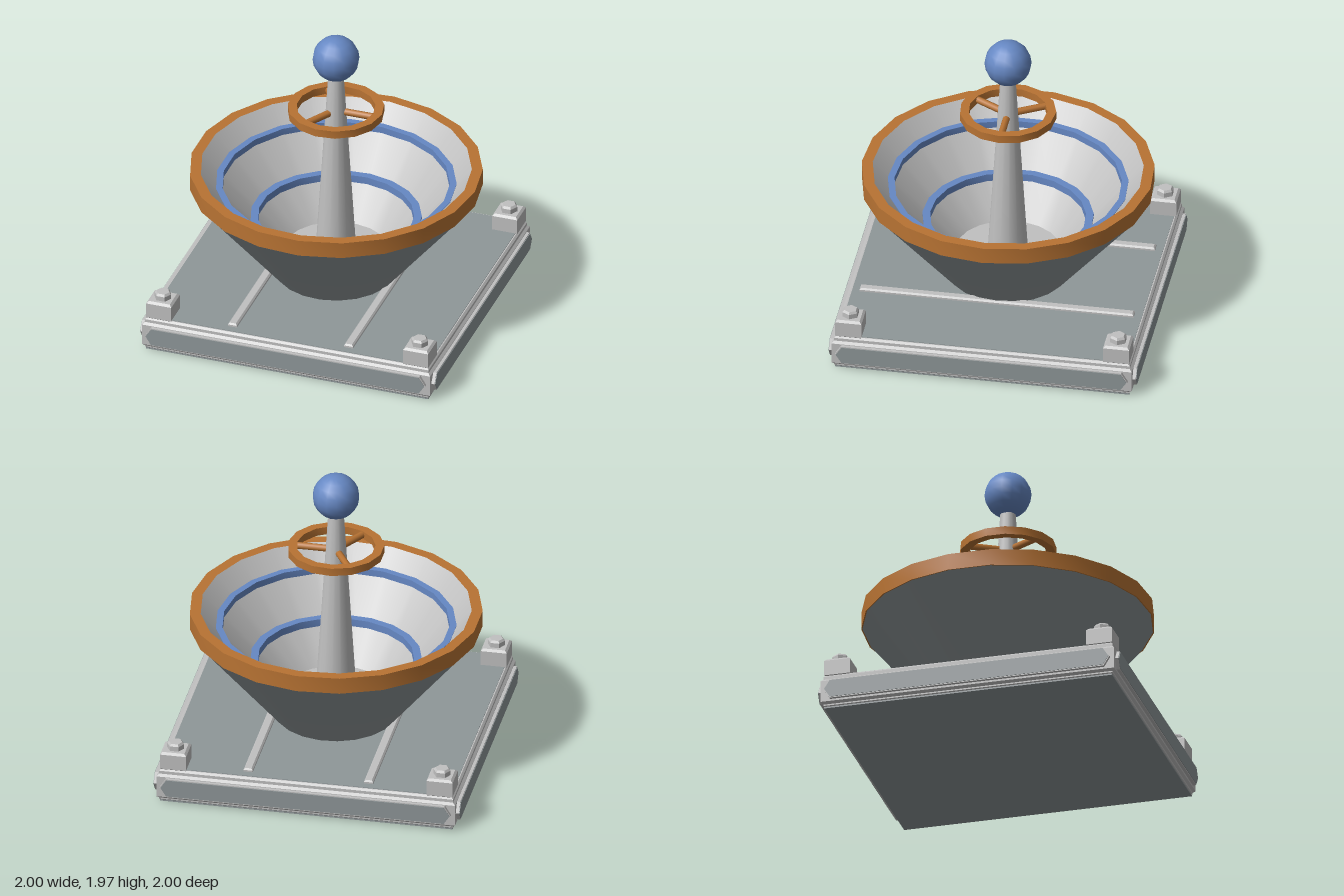
import * as THREE from 'three';
import { toCreasedNormals } from 'three/addons/utils/BufferGeometryUtils.js';

const mat = (name, color) => {
  const m = new THREE.MeshStandardMaterial({ color });
  m.name = name;
  return m;
};

export function createModel() {
  const model = new THREE.Group();
  model.name = 'bowlFixture';
  const silver = mat('silver', 0xc0c0c0);
  const steel = mat('steelGrey', 0x8f9799);
  const copper = mat('copper', 0xb87333);
  const blue = mat('blue', 0x6688c4);

  const add = (name, geometry, material, x = 0, y = 0, z = 0, parent = model) => {
    const mesh = new THREE.Mesh(geometry, material);
    mesh.name = name;
    mesh.position.set(x, y, z);
    parent.add(mesh);
    return mesh;
  };

  // Turned part with a corner on +x; profile runs up the outside, down the inside
  const lathe = (profile, sides) => toCreasedNormals(new THREE.LatheGeometry(
    profile.map(([r, y]) => new THREE.Vector2(r, y)), sides, Math.PI / 2), 0.5);

  const ring = (inner, outer, bottom, top, sides) => lathe(
    [[inner, bottom], [outer, bottom], [outer, top], [inner, top], [inner, bottom]], sides);

  // Upright block with all edges chamfered
  const outline = (points) => new THREE.Shape(points.map(([x, y]) => new THREE.Vector2(x, y)));
  const chamferBlock = (w, h, d, b) => {
    const x = w / 2 - b, z = d / 2 - b;
    return new THREE.ExtrudeGeometry(outline([[-x, -z], [x, -z], [x, z], [-x, z]]), {
      depth: h - 2 * b, bevelEnabled: true, bevelThickness: b, bevelSize: b, bevelSegments: 1,
    }).rotateX(-Math.PI / 2).center();
  };

  // Base: chamfered body with a lip above and below, plus inset plates
  add('baseBody', chamferBlock(1.95, 0.175, 1.95, 0.015), silver, 0, 0.1125, 0);
  add('bottomLip', chamferBlock(1.92, 0.06, 1.92, 0.012), silver, 0, 0.034, 0);
  add('topLip', chamferBlock(1.92, 0.06, 1.92, 0.012), silver, 0, 0.202, 0);
  add('topPlate', new THREE.BoxGeometry(1.88, 0.012, 1.88), steel, 0, 0.23, 0);
  add('bottomPlate', new THREE.BoxGeometry(1.91, 0.01, 1.91), steel, 0, 0.005, 0);

  // Long pointed panel on each of the four sides
  const panelShape = (inset) => {
    const t = 0.95 - inset, s = 0.91 - inset * 0.6, h = 0.064 - inset;
    return outline([[-t, 0], [-s, -h], [s, -h], [t, 0], [s, h], [-s, h]]);
  };
  const rimGeo = new THREE.ExtrudeGeometry(panelShape(0), { depth: 0.03, bevelEnabled: false });
  const faceGeo = new THREE.ExtrudeGeometry(panelShape(0.006), { depth: 0.006, bevelEnabled: false });
  for (let i = 0; i < 4; i++) {
    const side = new THREE.Group();
    side.name = 'sidePanel';
    side.rotation.y = i * Math.PI / 2;
    side.position.y = 0.117;
    add('panelFrame', rimGeo, silver, 0, 0, 0.966, side);
    add('panelFace', faceGeo, steel, 0, 0, 0.994, side);
    model.add(side);
  }

  // Rails across the top plate
  const railGeo = chamferBlock(0.06, 0.036, 1.78, 0.01);
  for (const x of [-0.393, 0.393]) add('rail', railGeo, silver, x, 0.24, 0);

  // Corner blocks with hex bolts
  const blockGeo = chamferBlock(0.17, 0.13, 0.17, 0.014);
  const boltGeo = toCreasedNormals(new THREE.LatheGeometry(
    [[0.056, 0], [0.056, 0.04], [0.044, 0.054], [0, 0.054]]
      .map(([r, y]) => new THREE.Vector2(r, y)), 6, Math.PI / 2), 0.5);
  for (const x of [-0.87, 0.87]) for (const z of [-0.87, 0.87]) {
    add('cornerBlock', blockGeo, silver, x, 0.285, z);
    add('cornerBolt', boltGeo, silver, x, 0.342, z);
  }

  // Bowl: outer shell, inner lining, rim and two bands
  add('bowlShell', lathe([[0, 0.236], [0.392, 0.236], [0.405, 0.252], [0.932, 0.89]], 21), steel);
  add('bowlLining', lathe([[0.87, 1], [0.34, 0.38], [0, 0.38]], 21), silver);
  add('bowlRim', lathe([[0.9, 0.89], [0.94, 0.89], [0.94, 1], [0.87, 1]], 21), copper);
  add('upperBand', ring(0.73, 0.773, 0.845, 0.89, 21), blue);
  add('lowerBand', ring(0.5, 0.55, 0.59, 0.64, 21), blue);

  // Central pole with ball
  add('pole', toCreasedNormals(new THREE.CylinderGeometry(0.048, 0.132, 1.35, 14), 0.6), silver, 0, 1.045, 0);
  add('ball', new THREE.SphereGeometry(0.151, 14, 10), blue, 0, 1.815, 0);

  // Small ring held to the pole by three spokes
  add('poleRing', ring(0.253, 0.31, 1.4, 1.453, 15), copper);
  const spokeGeo = new THREE.CylinderGeometry(0.023, 0.023, 0.24, 8).rotateZ(Math.PI / 2).translate(0.15, 0, 0);
  for (let i = 0; i < 3; i++) {
    add('spoke', spokeGeo, copper, 0, 1.426, 0).rotation.y = i * Math.PI * 2 / 3;
  }

  return model;
}
